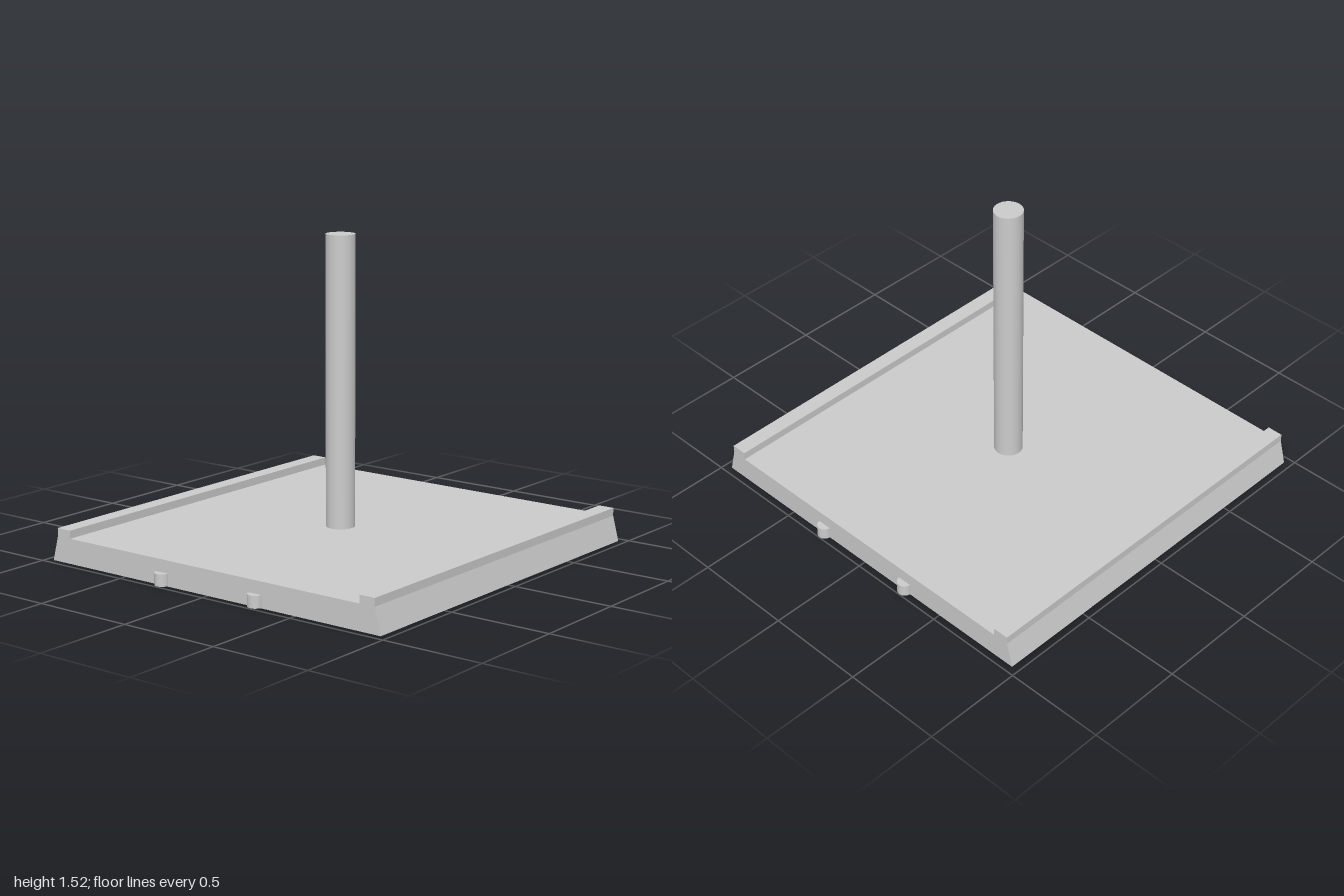
import * as THREE from 'three';

const material = new THREE.MeshStandardMaterial({ color: 0xcccccc });

function addPart(group, name, geometry, x = 0, y = 0, z = 0) {
  const mesh = new THREE.Mesh(geometry, material);
  mesh.name = name;
  mesh.position.set(x, y, z);
  group.add(mesh);
}

export function createModel() {
  const group = new THREE.Group();
  group.name = 'plateWithPost';
  const halfDepth = 0.964;

  // Base plate: sloped sides and a raised rail along each side edge
  const right = [[0.962, 0], [0.93, 0.122], [0.93, 0.161], [0.85, 0.161], [0.85, 0.122]];
  const left = right.map(([x, y]) => [-x, y]).reverse();
  const profile = new THREE.Shape([...right, ...left].map(([x, y]) => new THREE.Vector2(x, y)));
  const plate = new THREE.ExtrudeGeometry(profile, { depth: 2 * halfDepth, bevelEnabled: false });
  addPart(group, 'basePlate', plate, 0, 0, -halfDepth);

  // Upright post in the middle
  const postBottom = 0.12, postTop = 1.525;
  const post = new THREE.CylinderGeometry(0.07, 0.07, postTop - postBottom, 48);
  addPart(group, 'post', post, 0, (postTop + postBottom) / 2, 0);

  // Small round pegs, half sunk into the front and back faces
  const peg = new THREE.CylinderGeometry(0.036, 0.036, 0.058, 32);
  for (const z of [halfDepth, -halfDepth]) {
    for (const x of [-0.272, 0.277]) addPart(group, 'peg', peg, x, 0.032, z);
  }

  return group;
}
